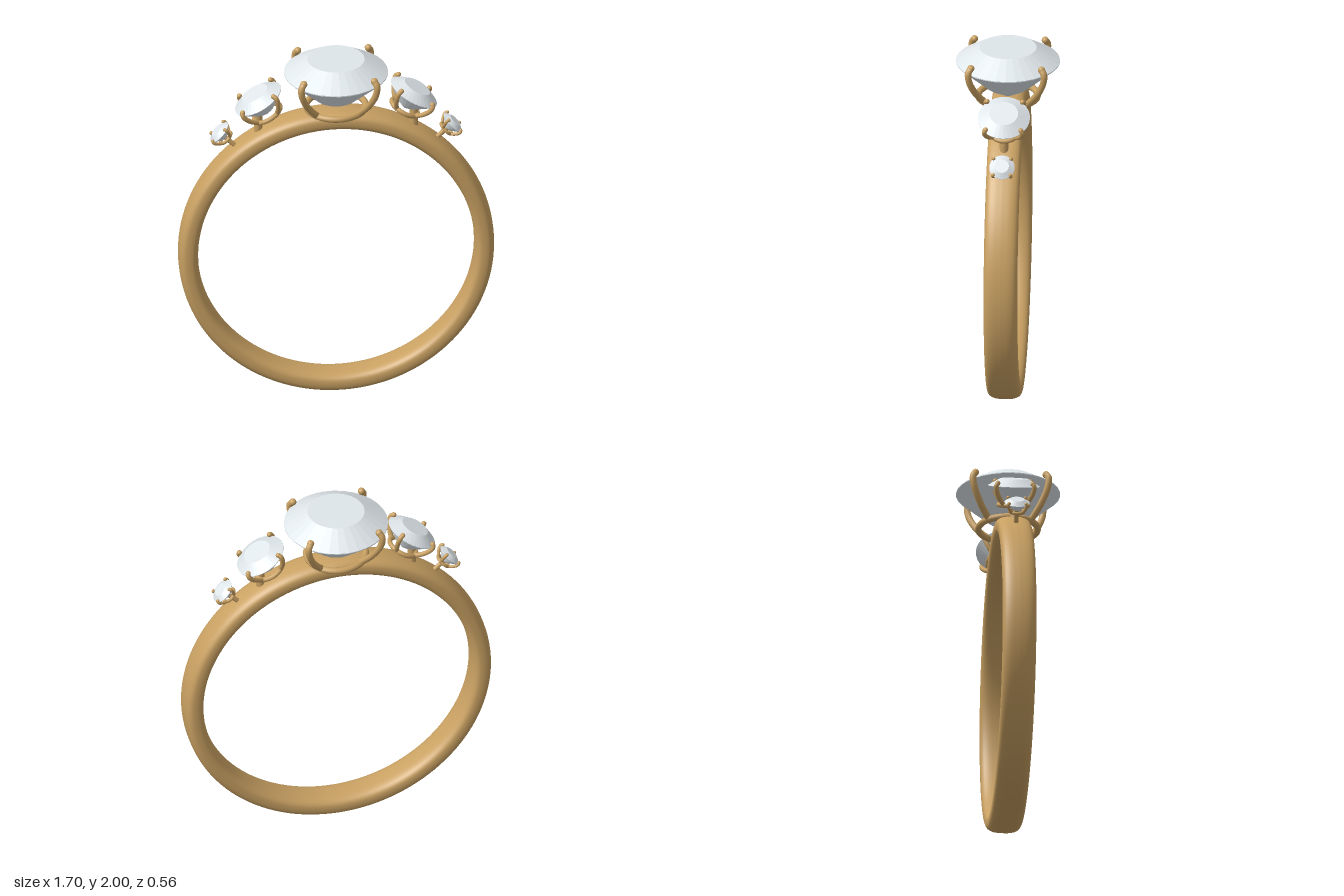
import * as THREE from 'three';

const gold = new THREE.MeshStandardMaterial({ color: 0xc8a062 });
const stone = new THREE.MeshStandardMaterial({ color: 0xdfe6ea, flatShading: true });

function add(parent, name, geometry, material) {
  const mesh = new THREE.Mesh(geometry, material);
  mesh.name = name;
  parent.add(mesh);
  return mesh;
}

// Band: a soft rectangular section turned around the finger axis
function bandGeometry() {
  const soft = (v) => Math.sign(v) * Math.abs(v) ** 0.72;
  const profile = [];
  for (let i = 0; i <= 32; i++) {
    const t = (i / 32) * Math.PI * 2;
    profile.push(new THREE.Vector2(0.798 + 0.053 * soft(Math.cos(t)), 0.091 * soft(Math.sin(t))));
  }
  return new THREE.LatheGeometry(profile, 128).rotateX(Math.PI / 2);
}

// Claw-set stone; the origin is the middle of the girdle, r its radius
function setting(name, r, wire) {
  const group = new THREE.Group();
  group.name = name;

  // Round cut: culet, pavilion, girdle, crown, table
  const cut = [[0, -0.76], [0.4, -0.54], [1, -0.01], [1, 0.01], [0.55, 0.285], [0, 0.285]];
  const profile = cut.map(([x, y]) => new THREE.Vector2(x * r, y * r));
  add(group, 'gemstone', new THREE.LatheGeometry(profile, 32), stone);

  // Basket ring under the stone
  const ring = add(group, 'basketRing', new THREE.TorusGeometry(0.57 * r, wire, 10, 40), gold);
  ring.rotation.x = Math.PI / 2;
  ring.position.y = -0.73 * r;

  // Four claws curving up from the ring and over the girdle
  const path = [[0.56, -0.73], [0.82, -0.46], [1, -0.16], [1.03, 0.04], [0.96, 0.13]];
  const curve = new THREE.CatmullRomCurve3(path.map(([x, y]) => new THREE.Vector3(x * r, y * r, 0)));
  for (let i = 0; i < 4; i++) {
    const prong = new THREE.Group();
    prong.name = 'prong';
    prong.rotation.y = Math.PI / 4 + (i * Math.PI) / 2;
    add(prong, 'prongWire', new THREE.TubeGeometry(curve, 20, wire, 10), gold);
    for (const t of [0, 1]) {
      add(prong, 'prongEnd', new THREE.SphereGeometry(wire * 1.08, 12, 8), gold).position.copy(curve.getPoint(t));
    }
    group.add(prong);
  }
  return group;
}

export function createModel() {
  const model = new THREE.Group();
  model.name = 'ring';
  add(model, 'band', bandGeometry(), gold).position.y = 0.851;

  // Large centre stone
  const centre = setting('centreSetting', 0.28, 0.018);
  centre.position.y = 1.92;
  model.add(centre);

  // Two smaller stones stepping down each shoulder
  for (const side of [1, -1]) {
    const shoulder = setting('shoulderSetting', 0.14, 0.013);
    shoulder.position.set(side * 0.42, 1.775, 0);
    shoulder.rotation.z = -side * 0.5;
    model.add(shoulder);

    const post = add(model, 'shoulderPost', new THREE.CylinderGeometry(0.023, 0.023, 0.11, 16), gold);
    post.position.set(side * 0.42, 1.625, 0);

    const outer = setting('outerSetting', 0.068, 0.009);
    outer.position.set(side * 0.63, 1.58, 0);
    outer.rotation.z = -side * 0.8;
    model.add(outer);

    // Short stem joining the outer basket to the band
    const stem = add(outer, 'outerStem', new THREE.CylinderGeometry(0.013, 0.013, 0.07, 12), gold);
    stem.position.y = -0.08;
  }
  return model;
}
